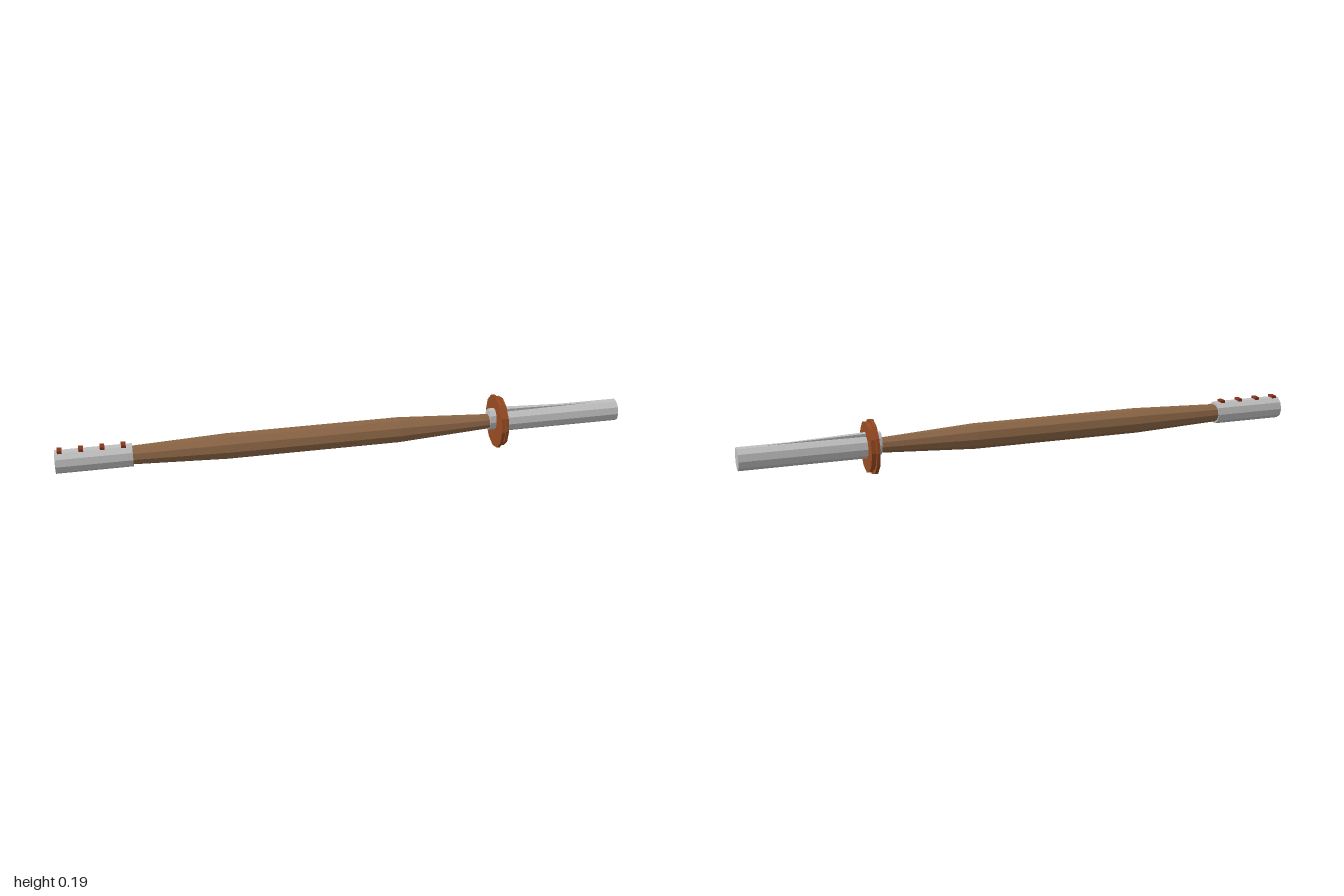
import * as THREE from 'three';

const paint = (name, color) => {
  const m = new THREE.MeshStandardMaterial({ color });
  m.name = name;
  return m;
};

// Facet a geometry so every side reads flat
function flat(geometry) {
  const g = geometry.index ? geometry.toNonIndexed() : geometry;
  g.computeVertexNormals();
  return g;
}

// Faceted solid turned around the x axis from [x, radius] points, squashed to an oval if asked
function turned(points, sides, cy, scaleY = 1, scaleZ = 1) {
  const profile = points.map(([x, r]) => new THREE.Vector2(r, x));
  const g = new THREE.LatheGeometry(profile, sides);
  g.rotateZ(-Math.PI / 2);
  g.scale(1, scaleY, scaleZ);
  g.translate(0, cy, 0);
  return flat(g);
}

const rod = (x0, x1, r) => [[x0, 0], [x0, r], [x1, r], [x1, 0]];

export function createModel() {
  const group = new THREE.Group();
  const metal = paint('silver metal', 0xc0c0c0);
  const wood = paint('wood', 0x8b6545);
  const copper = paint('copper brown', 0x964a22);
  const rust = paint('rust red', 0x8a341c);

  const add = (name, geometry, material) => {
    const mesh = new THREE.Mesh(geometry, material);
    mesh.name = name;
    group.add(mesh);
    return mesh;
  };

  // Oval wooden shaft, thickest in the middle
  add('shaft', turned([
    [-0.76, 0], [-0.76, 0.036], [-0.42, 0.051], [0.19, 0.051], [0.53, 0.029], [0.53, 0],
  ], 10, 0.098, 0.86, 1), wood);

  // Metal sleeves at both ends
  add('endSleeve', turned(rod(-1, -0.74, 0.0405), 10, 0.099), metal);
  add('handle', turned(rod(0.56, 1, 0.0395), 10, 0.0975), metal);

  // Oval collar between shaft and guard
  add('collar', turned(rod(0.52, 0.56, 0.04), 10, 0.106, 1, 0.8), metal);

  // Round guard with a groove between its two plates
  add('guard', turned([
    [0.543, 0], [0.543, 0.096], [0.554, 0.096], [0.554, 0.082],
    [0.561, 0.082], [0.561, 0.089], [0.571, 0.089], [0.571, 0],
  ], 12, 0.096), copper);

  // Long wedge running down the top of the handle
  const side = new THREE.Shape([
    new THREE.Vector2(0.565, 0.125), new THREE.Vector2(0.95, 0.125),
    new THREE.Vector2(0.95, 0.134), new THREE.Vector2(0.74, 0.14),
    new THREE.Vector2(0.565, 0.146),
  ]);
  const wedge = new THREE.ExtrudeGeometry(side, { depth: 0.022, bevelEnabled: false });
  wedge.translate(0, 0, -0.011);
  // Narrow the wedge towards the far end
  const p = wedge.attributes.position;
  for (let i = 0; i < p.count; i++) {
    p.setZ(i, p.getZ(i) * THREE.MathUtils.mapLinear(p.getX(i), 0.565, 0.95, 1, 0.15));
  }
  add('handleWedge', flat(wedge), metal);

  // Four small pegs along the end sleeve
  for (let i = 0; i < 4; i++) {
    const peg = add('peg', new THREE.BoxGeometry(0.016, 0.014, 0.03), rust);
    peg.position.set(-0.982 + i * 0.071, 0.138, 0);
  }

  return group;
}
